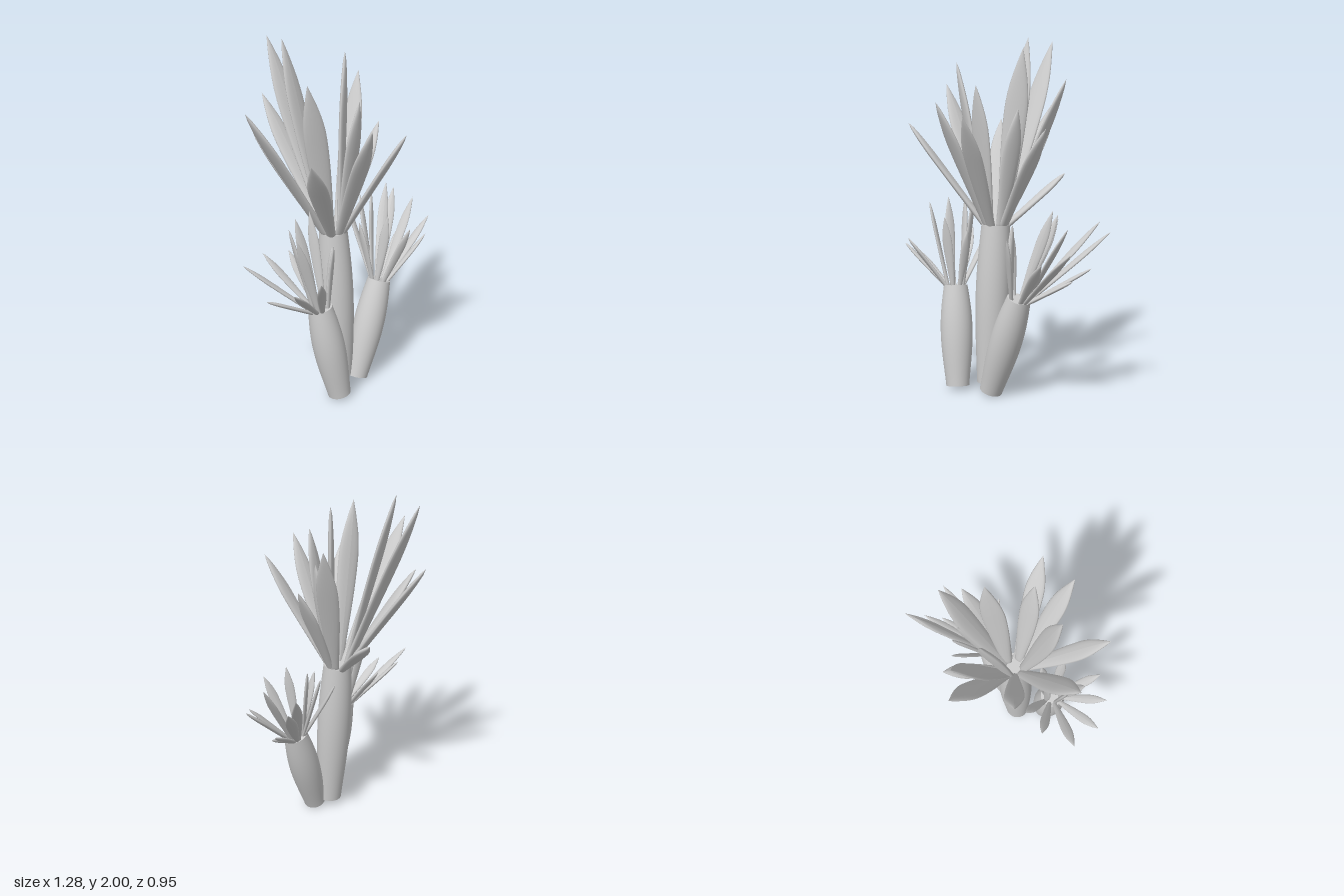
import * as THREE from 'three';

const material = new THREE.MeshStandardMaterial({ color: 0xcccccc });
const rad = THREE.MathUtils.degToRad;
const lerp = THREE.MathUtils.lerp;

// Unit leaf: widest at 65% of its length with a pointed tip, even thickness almost to the end
function leafGeometry() {
  const widthAt = (t) => t < 0.65 ? 0.45 + 0.55 * Math.pow(Math.sin((t / 0.65) * Math.PI / 2), 1.4)
    : Math.cos(((t - 0.65) / 0.35) * Math.PI / 2);
  const thicknessAt = (t) => t < 0.65 ? 1 : Math.sqrt(Math.max(0, 1 - Math.pow((t - 0.65) / 0.35, 2)));
  const pts = [new THREE.Vector2(0, 0)];
  for (let i = 0; i < 20; i++) pts.push(new THREE.Vector2(widthAt(i / 20), i / 20));
  pts.push(new THREE.Vector2(0, 1));
  const geo = new THREE.LatheGeometry(pts, 16);
  const pos = geo.attributes.position;
  for (let i = 0; i < pos.count; i++) {
    const t = pos.getY(i);
    if (t < 1) pos.setZ(i, pos.getZ(i) * thicknessAt(t) / widthAt(t));
  }
  geo.computeVertexNormals();
  return geo;
}
const leafGeo = leafGeometry();

// Bulging trunk, narrow at the foot and drawn in at the top
function makeTrunk(base, top, radius, topRatio) {
  const axis = top.clone().sub(base), len = axis.length();
  const bulge = 1 - lerp(0.72, topRatio, 0.55);
  const radiusAt = (t) => radius * (lerp(0.72, topRatio, t) + bulge * Math.sin(Math.PI * Math.pow(t, 1.15)));
  const pts = [];
  for (let i = 0; i <= 24; i++) pts.push(new THREE.Vector2(radiusAt(i / 24), (i / 24) * len));
  const trunk = new THREE.Group();
  trunk.name = 'trunk';
  const bark = new THREE.Mesh(new THREE.LatheGeometry(pts, 32), material);
  bark.name = 'bark';
  trunk.add(bark);
  // Flat ends
  for (const t of [0, 1]) {
    const end = new THREE.Mesh(new THREE.CircleGeometry(radiusAt(t), 32), material);
    end.rotation.x = t ? -Math.PI / 2 : Math.PI / 2;
    end.position.y = t * len;
    end.name = 'trunkEnd';
    trunk.add(end);
  }
  trunk.position.copy(base);
  trunk.quaternion.setFromUnitVectors(new THREE.Vector3(0, 1, 0), axis.normalize());
  return trunk;
}

// Blade from the crown rim to its tip, longer ones wider; roll turns it about its own length
function makeLeaf(crown, axis, ring, size, tip, roll) {
  const out = tip.clone().sub(crown);
  out.addScaledVector(axis, -out.dot(axis)).normalize();
  const base = crown.clone().addScaledVector(out, ring);
  const dir = tip.clone().sub(base), len = dir.length();
  dir.normalize();
  const across = new THREE.Vector3().crossVectors(dir, axis).normalize().applyAxisAngle(dir, roll);
  const normal = new THREE.Vector3().crossVectors(across, dir);
  const leaf = new THREE.Mesh(leafGeo, material);
  leaf.quaternion.setFromRotationMatrix(new THREE.Matrix4().makeBasis(across, dir, normal));
  leaf.position.copy(base);
  leaf.scale.set(size * (0.48 + 0.55 * len), len, size * 0.27);
  leaf.name = 'leaf';
  return leaf;
}

// Fan of leaf tips: heading, lean from upright and length change evenly across it
function fanTips(top, [count, heading, step, lean0, lean1, len0, len1]) {
  return Array.from({ length: count }, (_, i) => {
    const t = i / (count - 1);
    const a = rad(heading + i * step), lean = rad(lerp(lean0, lean1, t));
    return new THREE.Vector3(Math.sin(lean) * Math.cos(a), Math.cos(lean), Math.sin(lean) * Math.sin(a))
      .multiplyScalar(lerp(len0, len1, t)).add(top);
  });
}

// Trunk with a crown of leaves; single leaves are [x, y, z, roll]
function makeStem(name, base, top, radius, topRatio, leafSize, { fans = [], singles = [] }) {
  const a = new THREE.Vector3(...base), b = new THREE.Vector3(...top);
  const axis = b.clone().sub(a).normalize();
  const crown = b.clone().addScaledVector(axis, -0.02);
  const ring = radius * topRatio * 0.62;
  const leaves = new THREE.Group();
  leaves.name = 'leafCrown';
  for (const fan of fans) {
    for (const tip of fanTips(b, fan)) leaves.add(makeLeaf(crown, axis, ring, leafSize, tip, 0));
  }
  for (const [x, y, z, roll = 0] of singles) {
    leaves.add(makeLeaf(crown, axis, ring, leafSize, new THREE.Vector3(x, y, z), roll));
  }
  const stem = new THREE.Group();
  stem.name = name;
  stem.add(makeTrunk(a, b, radius, topRatio), leaves);
  return stem;
}

export function createModel() {
  const model = new THREE.Group();
  model.name = 'succulentPlant';
  model.add(
    makeStem('tallStem', [-0.06, 0.04, 0.135], [-0.06, 0.95, 0.075], 0.098, 0.82, 0.063, {
      singles: [
        [-0.1, 2, -0.265], [-0.05, 1.98, -0.43], [0.095, 1.94, 0.02, -1],
        [-0.31, 1.86, 0.12, 0.6], [0.32, 1.77, -0.075], [-0.57, 1.73, -0.07],
        [-0.05, 1.74, 0.25], [-0.17, 1.65, 0.44], [-0.055, 1.64, -0.475],
        [0.06, 1.58, 0.48], [-0.5, 1.52, 0.32], [-0.32, 1.52, -0.28],
        [0.31, 1.51, 0.09], [0.125, 1.61, 0.1], [0.17, 1.23, -0.27],
      ],
    }),
    makeStem('rightStem', [-0.2, 0.018, 0.25], [-0.28, 0.585, 0.175], 0.092, 0.74, 0.039, {
      fans: [
        [4, 176, 38, 22, 13, 0.51, 0.55], [2, 0, 87, 16, 13, 0.35, 0.42],
        [3, 136, 26, 44, 66, 0.39, 0.4], [3, 218, 28, 55, 44, 0.51, 0.37],
      ],
    }),
    makeStem('leftStem', [0.01, 0.02, 0.2], [0.21, 0.58, 0.195], 0.09, 0.74, 0.039, {
      fans: [
        [2, -35, 5, 45, 52, 0.62, 0.63], [3, -82, 13, 36, 22, 0.51, 0.52],
        [2, -19, 8, 64, 68, 0.46, 0.35], [2, 27, 44, 50, 27, 0.38, 0.4],
      ],
      singles: [[0.53, 1, 0.18], [0.6, 0.88, 0.25], [0.21, 1, 0.25], [0.1, 0.96, 0.13]],
    }),
  );
  return model;
}
